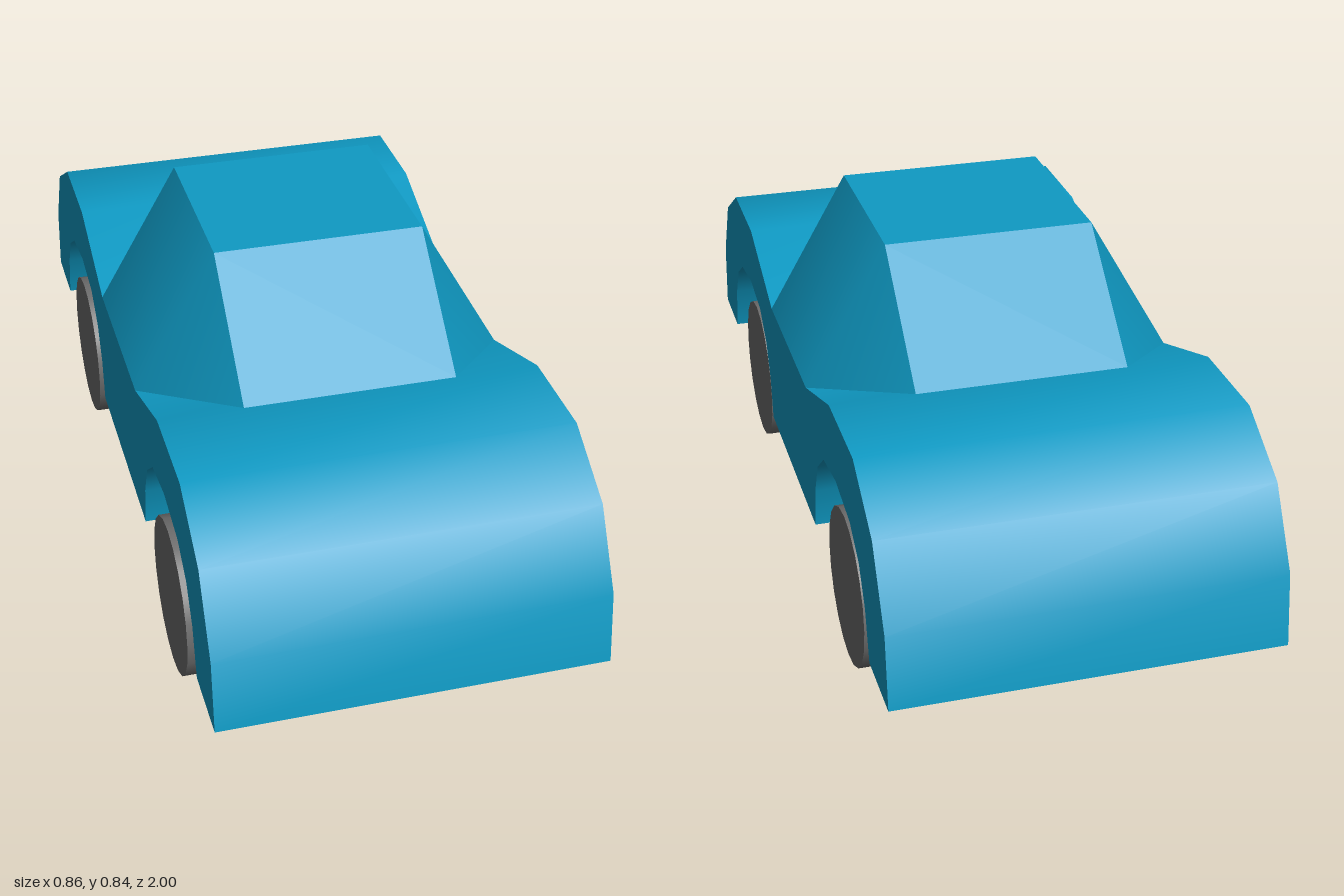
import * as THREE from 'three';
import { toCreasedNormals } from 'three/addons/utils/BufferGeometryUtils.js';
import { ConvexGeometry } from 'three/addons/geometries/ConvexGeometry.js';

const HALF_WIDTH = 0.43;
const CREASE = 0.6;

export function createModel() {
  const car = new THREE.Group();
  car.name = 'car';
  const paint = new THREE.MeshStandardMaterial({ color: 0x0f9ac4 });
  const rubber = new THREE.MeshStandardMaterial({ color: 0x6c6c6c });

  const add = (name, geometry, material) => {
    const mesh = new THREE.Mesh(geometry, material);
    mesh.name = name;
    car.add(mesh);
    return mesh;
  };

  // Body: half of the side outline as [z, y], mirrored front to back
  const top = [[1, 0.18], [0.98, 0.345], [0.885, 0.51], [0.72, 0.605], [0.485, 0.605], [0.215, 0.51]];
  const arch = [[0.27, 0.18], [0.285, 0.28], [0.325, 0.365], [0.4, 0.425], [0.53, 0.445],
    [0.67, 0.425], [0.75, 0.375], [0.8, 0.295], [0.83, 0.18]];
  const mirror = (points) => points.map(([z, y]) => [-z, y]).reverse();
  const outline = [...top, ...mirror(top), ...mirror(arch), ...arch];
  const shape = new THREE.Shape(outline.map(([z, y]) => new THREE.Vector2(z, y)));
  const body = new THREE.ExtrudeGeometry(shape, { depth: 2 * HALF_WIDTH, bevelEnabled: false });
  body.translate(0, 0, -HALF_WIDTH);
  body.rotateY(-Math.PI / 2);
  add('body', toCreasedNormals(body, CREASE), paint);

  // Cabin: narrow roof spreading to the hood, the boot and the sills
  const corners = [];
  for (const sx of [-1, 1]) {
    for (const sz of [-1, 1]) {
      corners.push(
        new THREE.Vector3(sx * 0.24, 0.84, sz * 0.215),
        new THREE.Vector3(sx * 0.24, 0.605, sz * 0.485),
        new THREE.Vector3(sx * HALF_WIDTH, 0.51, sz * 0.215),
      );
    }
  }
  add('cabin', toCreasedNormals(new ConvexGeometry(corners), CREASE), paint);

  // Wheels: the left pair sits slightly further in than the right pair
  const wheel = new THREE.CylinderGeometry(0.18, 0.18, 0.126, 20);
  wheel.rotateZ(Math.PI / 2);
  for (const [side, x] of [['Left', 0.353], ['Right', -0.366]]) {
    for (const [end, z] of [['front', 0.55], ['rear', -0.54]]) {
      add(`${end}${side}Wheel`, wheel, rubber).position.set(x, 0.18, z);
    }
  }
  return car;
}
